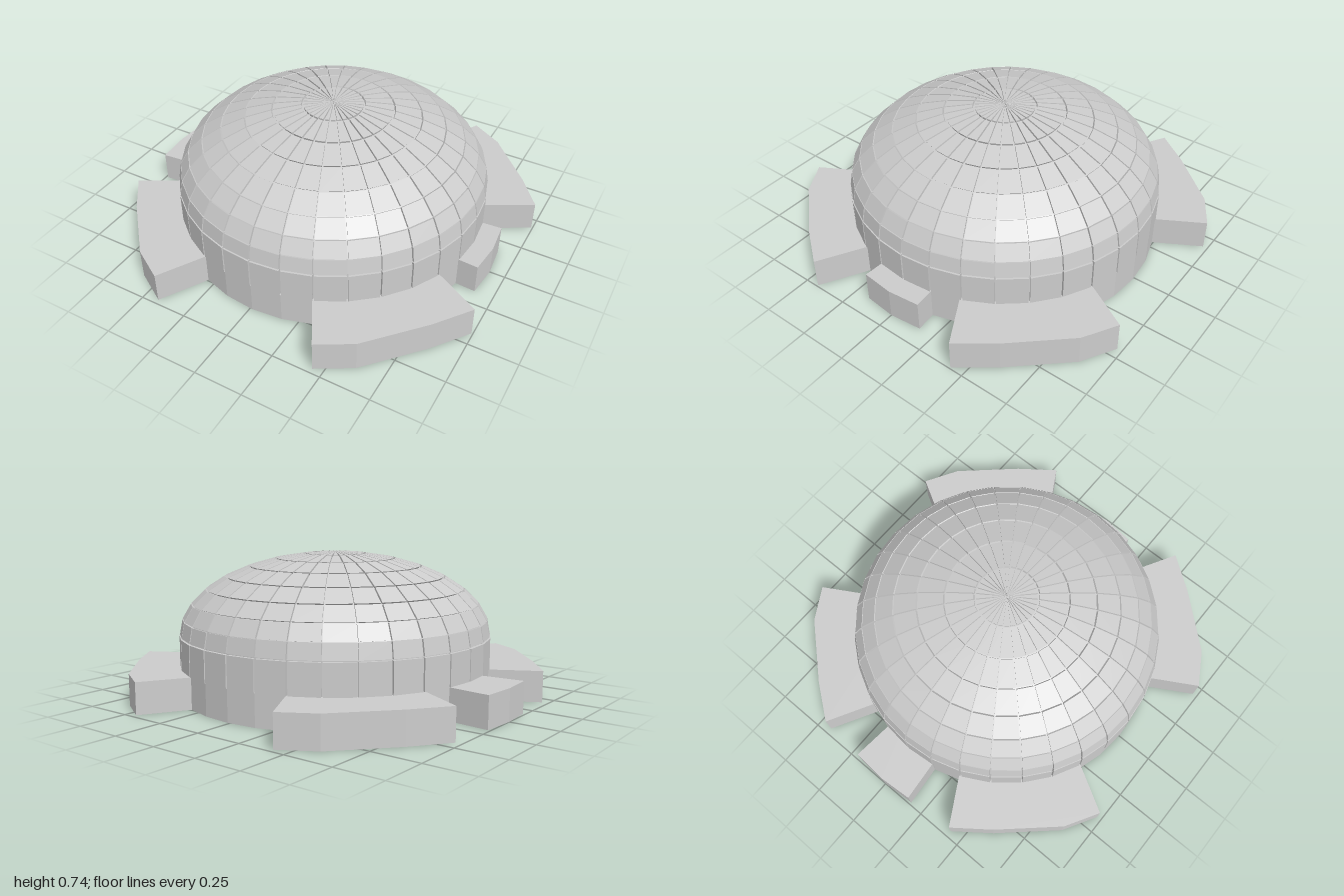
import * as THREE from 'three';
import { mergeGeometries } from 'three/addons/utils/BufferGeometryUtils.js';

const SEGMENTS = 32, RINGS = 8;
const RADIUS = 0.8, RISE = 0.415, BASE = 0.16, SPRING = 0.32;
const CENTRE_X = 0.013, GAP = 0.004;

// Elliptical dome profile: [radius, height] at polar angle t, pushed out by off
const domePoint = (t, off) => [(RADIUS + off) * Math.sin(t), SPRING + (RISE + off) * Math.cos(t)];

// A course of slightly separated bricks; point(v, off) gives its lower (0) or upper (1) edge
function brickCourse(point) {
  const bricks = [];
  for (let i = 0; i < SEGMENTS; i++) {
    const geo = new THREE.BoxGeometry(1, 1, 1);
    const pos = geo.attributes.position;
    for (let k = 0; k < pos.count; k++) {
      const [r, y] = point(pos.getY(k) > 0 ? 1 : 0, pos.getZ(k) > 0 ? 0.003 : -0.02);
      const half = Math.PI / SEGMENTS - Math.min(GAP / r, 0.04);
      const a = (i + 0.5) * 2 * Math.PI / SEGMENTS + Math.sign(pos.getX(k)) * half;
      pos.setXYZ(k, r * Math.sin(a), y, r * Math.cos(a));
    }
    geo.computeVertexNormals();
    bricks.push(geo);
  }
  return mergeGeometries(bricks);
}

// Upright block of base height from an outline of [x, z] points
function block(outline) {
  const shape = new THREE.Shape(outline.map(([x, z]) => new THREE.Vector2(x, -z)));
  return new THREE.ExtrudeGeometry(shape, { depth: BASE, bevelEnabled: false }).rotateX(-Math.PI / 2);
}

export function createModel() {
  const model = new THREE.Group();
  const stone = new THREE.MeshStandardMaterial({ color: 0xcccccc, flatShading: true });
  stone.name = 'pale grey stone';
  const add = (name, geo) => {
    const mesh = new THREE.Mesh(geo, stone);
    mesh.name = name;
    mesh.position.x = CENTRE_X;
    model.add(mesh);
    return mesh;
  };

  // Round base
  add('base', new THREE.CylinderGeometry(RADIUS + 0.003, RADIUS + 0.003, BASE, SEGMENTS)).position.y = BASE / 2;

  // Inner shell seen through the joints
  const profile = [new THREE.Vector2(RADIUS - 0.01, BASE - 0.02)];
  for (let k = RINGS; k >= 0; k--) {
    profile.push(new THREE.Vector2(...domePoint(k * Math.PI / 2 / RINGS, -0.01)));
  }
  add('innerShell', new THREE.LatheGeometry(profile, SEGMENTS));

  // Upright wall course, then the dome courses
  add('wallBricks', brickCourse((v, off) => [RADIUS + off + 0.003, v ? SPRING - GAP : BASE]));
  for (let k = 0; k < RINGS; k++) {
    const step = Math.PI / 2 / RINGS, inset = GAP / 0.65;
    add('domeBricks' + (k + 1), brickCourse((v, off) =>
      domePoint(v ? k * step + inset : (k + 1) * step - inset, off)));
  }

  // Four broad corner buttresses
  const corner = [[0.20, 0.57], [0.30, 0.74], [0.435, 0.975], [0.605, 0.875],
    [0.845, 0.61], [0.98, 0.43], [0.75, 0.30], [0.58, 0.20]];
  for (const sx of [1, -1]) {
    for (const sz of [1, -1]) {
      add('cornerButtress', block(corner.map(([x, z]) => [sx * x, sz * z])));
    }
  }

  // Short left and longer right side buttresses
  add('leftButtress', block([[0.6, -0.145], [0.89, -0.165], [0.907, 0], [0.89, 0.165], [0.6, 0.145]]));
  add('rightButtress', block([[-0.6, -0.14], [-1.0, -0.18], [-1.013, 0], [-1.0, 0.172], [-0.6, 0.135]]));
  return model;
}
